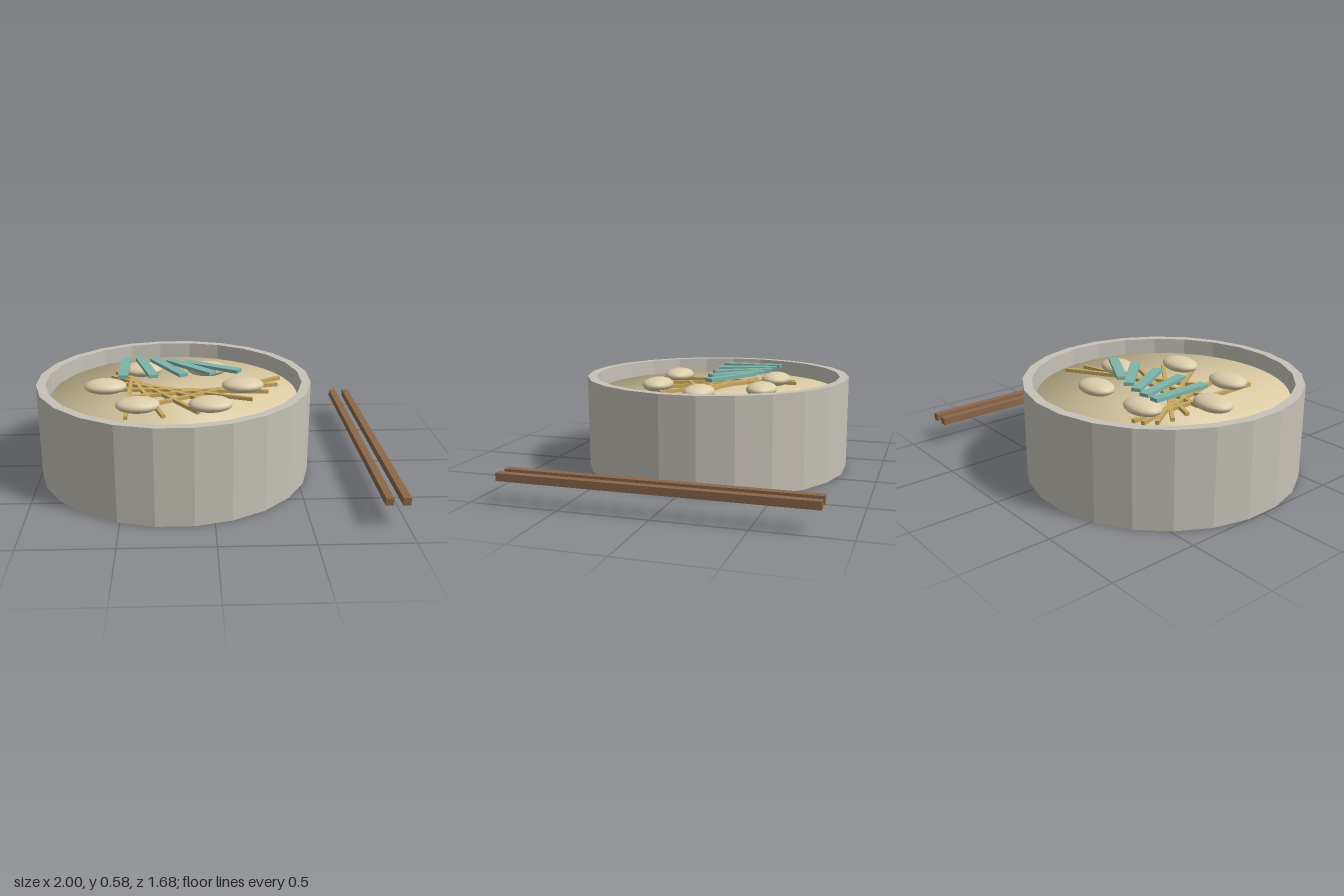
import * as THREE from 'three';

const CENTRE_X = -0.21; // bowl axis

function material(name, color) {
  const m = new THREE.MeshStandardMaterial({ color });
  m.name = name;
  return m;
}

// Outline of a regular polygon with a flat side facing each axis
function polygon(Type, radius, sides) {
  const points = [];
  for (let i = 0; i < sides; i++) {
    const a = ((i + 0.5) / sides) * Math.PI * 2;
    points.push(new THREE.Vector2(Math.cos(a) * radius, Math.sin(a) * radius));
  }
  return new Type(points);
}

// Flat disc whose normals lean outward toward the rim, for soft shading
function softDisc(radius, height) {
  const geometry = new THREE.CylinderGeometry(radius, radius, height, 48);
  const { position, normal } = geometry.attributes;
  const n = new THREE.Vector3();
  for (let i = 0; i < position.count; i++) {
    n.set(position.getX(i) / radius, Math.sign(position.getY(i)), position.getZ(i) / radius).normalize();
    normal.setXYZ(i, n.x, n.y, n.z);
  }
  return geometry;
}

export function createModel() {
  const model = new THREE.Group();
  model.name = 'noodleBowl';

  const stone = material('stone grey', 0xc6c2b8);
  const broth = material('broth cream', 0xdccca4);
  const dough = material('dumpling cream', 0xdccdaa);
  const gold = material('noodle gold', 0xc9a961);
  const teal = material('garnish teal', 0x7fb3aa);
  const wood = material('wood brown', 0x8b6749);

  const add = (name, geometry, mat, x, y, z, turn = 0) => {
    const mesh = new THREE.Mesh(geometry, mat);
    mesh.name = name;
    mesh.position.set(x, y, z);
    mesh.rotation.y = turn;
    model.add(mesh);
    return mesh;
  };

  // Faceted wall ring
  const ring = polygon(THREE.Shape, 0.794, 24);
  ring.holes.push(polygon(THREE.Path, 0.741, 24));
  const wall = new THREE.ExtrudeGeometry(ring, { depth: 0.55, bevelEnabled: false });
  wall.rotateX(-Math.PI / 2);
  add('bowlWall', wall, stone, CENTRE_X, 0, 0);

  // Base plate and broth surface
  add('bowlBase', softDisc(0.66, 0.04), stone, CENTRE_X, 0.04, 0);
  add('broth', softDisc(0.72, 0.04), broth, CENTRE_X, 0.44, 0);

  // Fan of noodles, each turned a little further
  const noodle = new THREE.BoxGeometry(0.022, 0.022, 0.88);
  for (let i = 0; i < 8; i++) {
    add('noodle', noodle, gold, CENTRE_X + (i - 3.5) * 0.075, 0.47, 0, i * 0.3);
  }

  // Ring of six dumplings
  const dumpling = new THREE.SphereGeometry(1, 24, 16);
  dumpling.scale(0.124, 0.042, 0.089);
  for (let i = 0; i < 6; i++) {
    const a = (i / 6) * Math.PI * 2;
    add('dumpling', dumpling, dough, CENTRE_X + Math.cos(a) * 0.403, 0.503, Math.sin(a) * 0.37 - 0.002);
  }

  // Fanned garnish strips on top
  const strip = new THREE.BoxGeometry(0.056, 0.02, 0.365);
  for (let i = 0; i < 5; i++) {
    add('garnishStrip', strip, teal, -0.506 + i * 0.131, 0.57, -0.148, i * 0.26);
  }

  // Pair of chopsticks beside the bowl
  const stick = new THREE.BoxGeometry(0.042, 0.042, 1.684);
  for (const x of [0.889, 0.979]) add('chopstick', stick, wood, x, 0.15, 0);

  return model;
}
